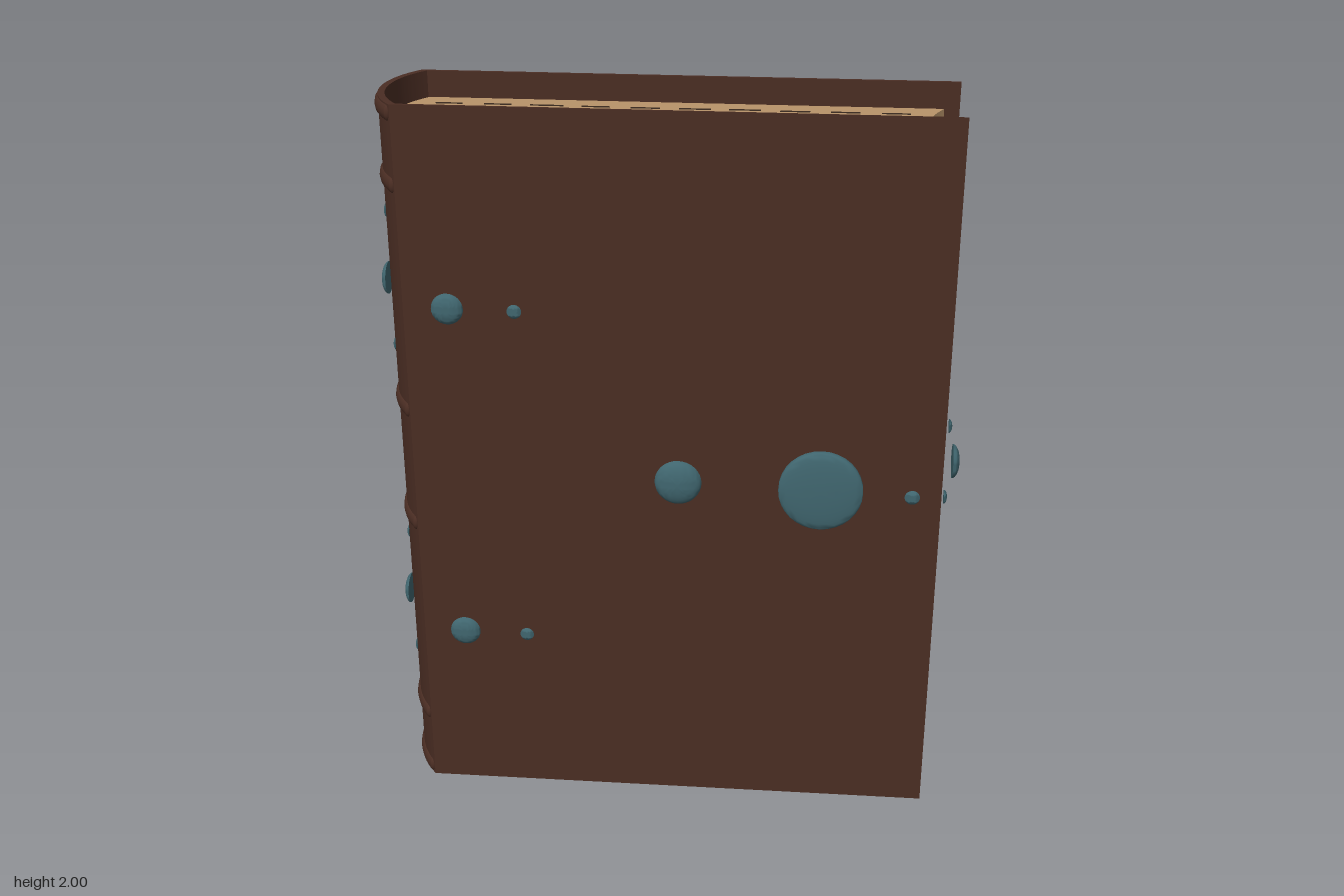
import * as THREE from 'three';
import { toCreasedNormals } from 'three/addons/utils/BufferGeometryUtils.js';

const leather = new THREE.MeshStandardMaterial({ color: 0x4a2d23 });
leather.name = 'brown leather';
const paper = new THREE.MeshStandardMaterial({ color: 0xb8946a });
paper.name = 'tan paper';
const shadowGap = new THREE.MeshStandardMaterial({ color: 0x3d2c20 });
shadowGap.name = 'dark page gap';
const gem = new THREE.MeshStandardMaterial({ color: 0x40666f });
gem.name = 'teal stone';

const SPINE_X = -0.454; // centre of the spine's arc
const PAGE_LOW = 0.06, PAGE_HIGH = 1.93, PAGE_Z = 0.175;
const foreEdge = (z) => 0.645 + 0.045 * (z / PAGE_Z) ** 2;

function add(parent, name, geometry, material) {
  const mesh = new THREE.Mesh(geometry, material);
  mesh.name = name;
  parent.add(mesh);
  return mesh;
}

// Extrude a plan outline upwards
function upright(shape, low, high) {
  const g = new THREE.ExtrudeGeometry(shape, { depth: high - low, bevelEnabled: false, curveSegments: 24 });
  g.rotateX(-Math.PI / 2).translate(0, low, 0);
  return toCreasedNormals(g, 0.5);
}

// Flat-backed polished stone; base at pos, bulging along dir
function stone(parent, name, r, h, pos, dir, rim = 0) {
  const pts = [new THREE.Vector2(0, 0), new THREE.Vector2(r, 0)];
  for (let i = rim ? 0 : 1; i <= 8; i++) {
    const a = (i / 8) * Math.PI / 2;
    pts.push(new THREE.Vector2(i === 8 ? 0 : r * Math.cos(a), rim + (h - rim) * Math.sin(a)));
  }
  const mesh = add(parent, name, toCreasedNormals(new THREE.LatheGeometry(pts, 32), 0.9), gem);
  mesh.position.set(...pos);
  mesh.quaternion.setFromUnitVectors(new THREE.Vector3(0, 1, 0), new THREE.Vector3(...dir));
}

export function createModel() {
  const book = new THREE.Group();
  book.name = 'book';

  // Cover: two thin boards joined by a rounded spine
  const a = Math.asin(0.187 / 0.301), b = Math.asin(0.177 / 0.283);
  const cover = new THREE.Shape();
  cover.moveTo(0.73, -0.187);
  cover.absarc(SPINE_X, 0, 0.301, Math.PI + a, Math.PI - a, true);
  cover.lineTo(0.73, 0.187);
  cover.lineTo(0.73, 0.177);
  cover.absarc(SPINE_X, 0, 0.283, Math.PI - b, Math.PI + b, false);
  cover.lineTo(0.73, -0.177);
  add(book, 'cover', upright(cover, 0, 2), leather);

  // Raised bands across the spine
  const ribs = new THREE.Group();
  ribs.name = 'spineBands';
  book.add(ribs);
  for (const y of [0.024, 0.21, 0.83, 1.17, 1.79, 1.976]) {
    const half = 0.62;
    const g = new THREE.TorusGeometry(0.298, 0.012, 10, 28, half * 2);
    g.rotateZ(Math.PI - half).scale(1, 1, 1.75).rotateX(-Math.PI / 2);
    add(ribs, 'spineBand', g, leather).position.set(SPINE_X, y, 0);
    for (const s of [-1, 1]) {
      const end = add(ribs, 'bandEnd', new THREE.SphereGeometry(0.012, 12, 8), leather);
      end.scale.y = 1.75;
      end.position.set(SPINE_X - 0.298 * Math.cos(half), y, s * 0.298 * Math.sin(half));
    }
  }

  // Page block: rounded back, hollow fore edge
  const p = Math.asin(PAGE_Z / 0.278);
  const pages = new THREE.Shape();
  pages.moveTo(0.69, -PAGE_Z);
  pages.absarc(SPINE_X, 0, 0.278, Math.PI + p, Math.PI - p, true);
  pages.lineTo(0.69, PAGE_Z);
  pages.quadraticCurveTo(0.6, 0, 0.69, -PAGE_Z);
  add(book, 'pageBlock', upright(pages, PAGE_LOW, PAGE_HIGH), paper);

  // Dark gaps between groups of pages: [z, width, fraction drawn]
  const gaps = new THREE.Group();
  gaps.name = 'pageGaps';
  book.add(gaps);
  let seed = 7;
  const rand = () => (seed = (seed * 16807) % 2147483647) / 2147483647;
  for (const [z, width, fill] of [[0.005, 0.008, 0.75], [0.1, 0.003, 0.6], [0.05, 0.003, 0.5],
    [-0.06, 0.003, 0.5], [-0.108, 0.003, 0.6]]) {
    for (let y = PAGE_LOW + 0.02; y < PAGE_HIGH - 0.17; y += 0.17) {
      const len = 0.17 * fill * (0.6 + 0.6 * rand());
      add(gaps, 'foreEdgeGap', new THREE.BoxGeometry(0.006, len, width * (0.6 + 0.5 * rand())), shadowGap)
        .position.set(foreEdge(z), y + 0.08, z + (rand() - 0.5) * 0.005);
    }
    if (z === 0.05 || z === -0.06) continue;
    for (let x = -0.68; x < 0.5; x += 0.13) {
      const len = 0.13 * Math.min(1, fill * (0.9 + 0.4 * rand()));
      for (const y of [PAGE_LOW, PAGE_HIGH]) {
        add(gaps, 'endGap', new THREE.BoxGeometry(len, 0.006, width * 0.8), shadowGap)
          .position.set(x + 0.075, y, z + (rand() - 0.5) * 0.004);
      }
    }
  }

  // Stones on both boards: [x, y, radius, base z, height, rim]
  const stones = new THREE.Group();
  stones.name = 'stones';
  book.add(stones);
  const boardStones = [
    [0.41, 1, 0.112, 0.207, 0.028, 0.015], [0.03, 1, 0.063, 0.2, 0.026], [0.65, 1, 0.02, 0.233, 0.009],
  ];
  for (const y of [0.52, 1.48]) {
    boardStones.push([-0.565, y, 0.042, 0.222, 0.017], [-0.39, y, 0.019, 0.226, 0.008]);
  }
  for (const s of [-1, 1]) {
    for (const [x, y, r, z, h, rim] of boardStones) {
      stone(stones, s > 0 ? 'frontStone' : 'backStone', r, h, [x, y, s * z], [0, 0, s], rim);
    }
  }

  // Stones along the spine
  for (const y of [0.52, 1.48]) {
    stone(stones, 'spineStone', 0.044, 0.017, [-0.77, y, 0], [-1, 0, 0]);
    for (const d of [-0.19, 0.19]) {
      stone(stones, 'smallSpineStone', 0.019, 0.008, [-0.762, y + d, 0], [-1, 0, 0]);
    }
  }

  // Paired clasp stones at the fore edge
  for (const s of [-1, 1]) {
    stone(stones, 'claspStone', 0.047, 0.02, [0.74 + s * 0.025, 1, 0], [s, 0, 0]);
    for (const y of [0.89, 1.105]) {
      stone(stones, 'smallClaspStone', 0.019, 0.009, [0.74 + s * 0.009, y, 0], [s, 0, 0]);
    }
  }
  return book;
}
